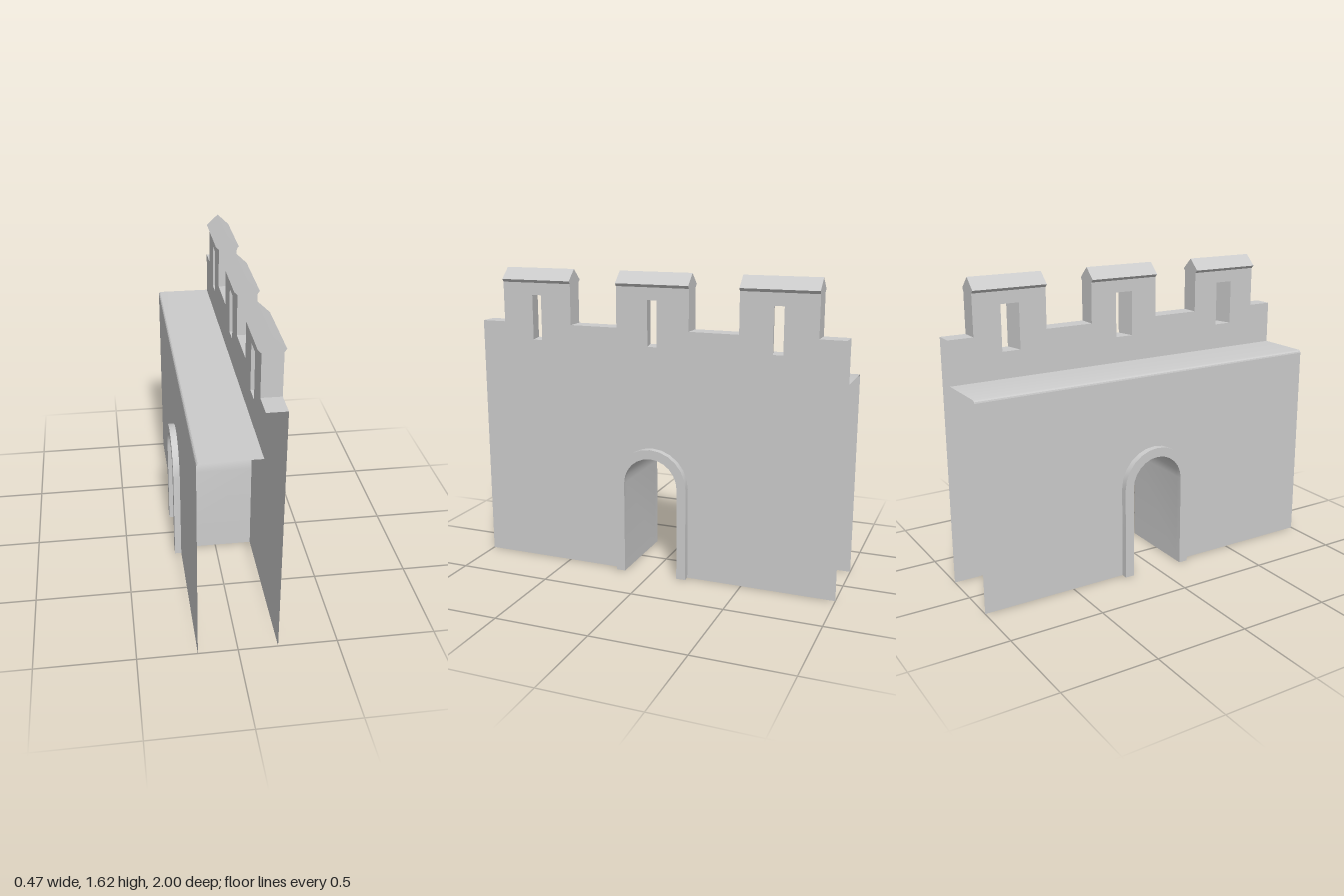
import * as THREE from 'three';
import { toCreasedNormals } from 'three/addons/utils/BufferGeometryUtils.js';

const OUTER = 0.2, INNER = 0.1, BACK = -0.2; // x of the wall faces
const CREST = 1.33, MERLON_TOP = 1.545, WALK = 1.1, BEVEL = 0.015;
const MERLONS = [-0.665, 0, 0.665];

export function createModel() {
  const group = new THREE.Group();
  const material = new THREE.MeshStandardMaterial({ color: 0xcccccc, side: THREE.DoubleSide });

  const add = (name, geometry) => {
    const mesh = new THREE.Mesh(toCreasedNormals(geometry, 0.35), material);
    mesh.name = name;
    group.add(mesh);
    return mesh;
  };
  const toShape = (pts) => new THREE.Shape(pts.map(([u, y]) => new THREE.Vector2(u, y)));

  // Wall points are [u, y], with u running along the wall (u = -z)
  const at = (pts, x) => pts.map(([u, y]) => [x, y, -u]);

  // Ribbon of quads between two equal rows of 3D points
  const ribbon = (name, a, b) => {
    const n = a.length, index = [];
    for (let i = 0; i < n - 1; i++) index.push(i, n + i, i + 1, n + i, n + i + 1, i + 1);
    const geometry = new THREE.BufferGeometry();
    geometry.setAttribute('position', new THREE.Float32BufferAttribute([...a, ...b].flat(), 3));
    geometry.setIndex(index);
    return add(name, geometry);
  };

  // Flat upright sheet at x, facing +x (side 1) or -x (side -1)
  const panel = (name, pts, holes, x, side) => {
    const shape = toShape(pts);
    shape.holes = holes.map(toShape);
    const geometry = new THREE.ShapeGeometry(shape);
    geometry.rotateY(side * Math.PI / 2).translate(x, 0, 0);
    return add(name, geometry);
  };

  // Arch outline from the left foot, over the top, to the right foot
  const arch = (r) => {
    const pts = [[-r, 0]];
    for (let i = 0; i <= 12; i++) {
      const t = Math.PI * (1 - i / 12);
      pts.push([r * Math.cos(t), 0.5 + r * Math.sin(t)]);
    }
    return [...pts, [r, 0]];
  };
  const slit = (c, w) => [[c - w, 1.24], [c + w, 1.24], [c + w, 1.48], [c - w, 1.48]];

  // Stepped top line of the parapet, left to right
  const crest = [[-1, CREST]];
  for (const c of MERLONS) {
    crest.push([c - 0.2, CREST], [c - 0.2, MERLON_TOP], [c + 0.2, MERLON_TOP], [c + 0.2, CREST]);
  }
  crest.push([1, CREST]);
  const crestBack = [...crest].reverse();

  // Tall outer wall, parapet inside face and their top edge
  panel('outerWall', [[-1, 0], ...arch(0.2), [1, 0], ...crestBack],
    MERLONS.map((c) => slit(c, 0.026)), OUTER, 1);
  panel('parapetInside', [[-1, WALK], [1, WALK], ...crestBack],
    MERLONS.map((c) => slit(c, 0.05)), INNER, -1);
  ribbon('battlementEdge', at(crest, INNER), at(crest, OUTER));

  // Lower rear wall and walkway with a softened edge
  const rearTop = WALK - BEVEL;
  panel('rearWall', [[-1, 0], ...arch(0.2), [1, 0], [1, rearTop], [-1, rearTop]], [], BACK, -1);
  const walkPath = [];
  for (let i = 0; i <= 3; i++) {
    const t = i / 3 * Math.PI / 2;
    walkPath.push([BACK + BEVEL * (1 - Math.cos(t)), rearTop + BEVEL * Math.sin(t)]);
  }
  walkPath.push([INNER, WALK]);
  ribbon('walkway', walkPath.map(([x, y]) => [x, y, -1]), walkPath.map(([x, y]) => [x, y, 1]));

  // Splayed window reveals and small gabled roofs
  const roof = toShape([[0.1, MERLON_TOP], [0.2, MERLON_TOP], [0.211, 1.56], [0.148, 1.62], [0.084, 1.56]]);
  for (const c of MERLONS) {
    const loop = (w) => [...slit(c, w), slit(c, w)[0]];
    ribbon('windowReveal', at(loop(0.05), INNER), at(loop(0.026), OUTER));
    const geometry = new THREE.ExtrudeGeometry(roof, { depth: 0.4, bevelEnabled: false });
    add('merlonRoof', geometry.translate(0, 0, -c - 0.2));
  }

  // Gate passage and the raised arch trim on both faces
  const inside = arch(0.15).reverse();
  ribbon('gatePassage', at(inside, BACK), at(inside, OUTER));
  for (const x of [BACK - 0.035, OUTER]) {
    const geometry = new THREE.ExtrudeGeometry(toShape([...arch(0.2), ...inside]),
      { depth: 0.035, bevelEnabled: false });
    add('archTrim', geometry.rotateY(Math.PI / 2).translate(x, 0, 0));
  }
  return group;
}
